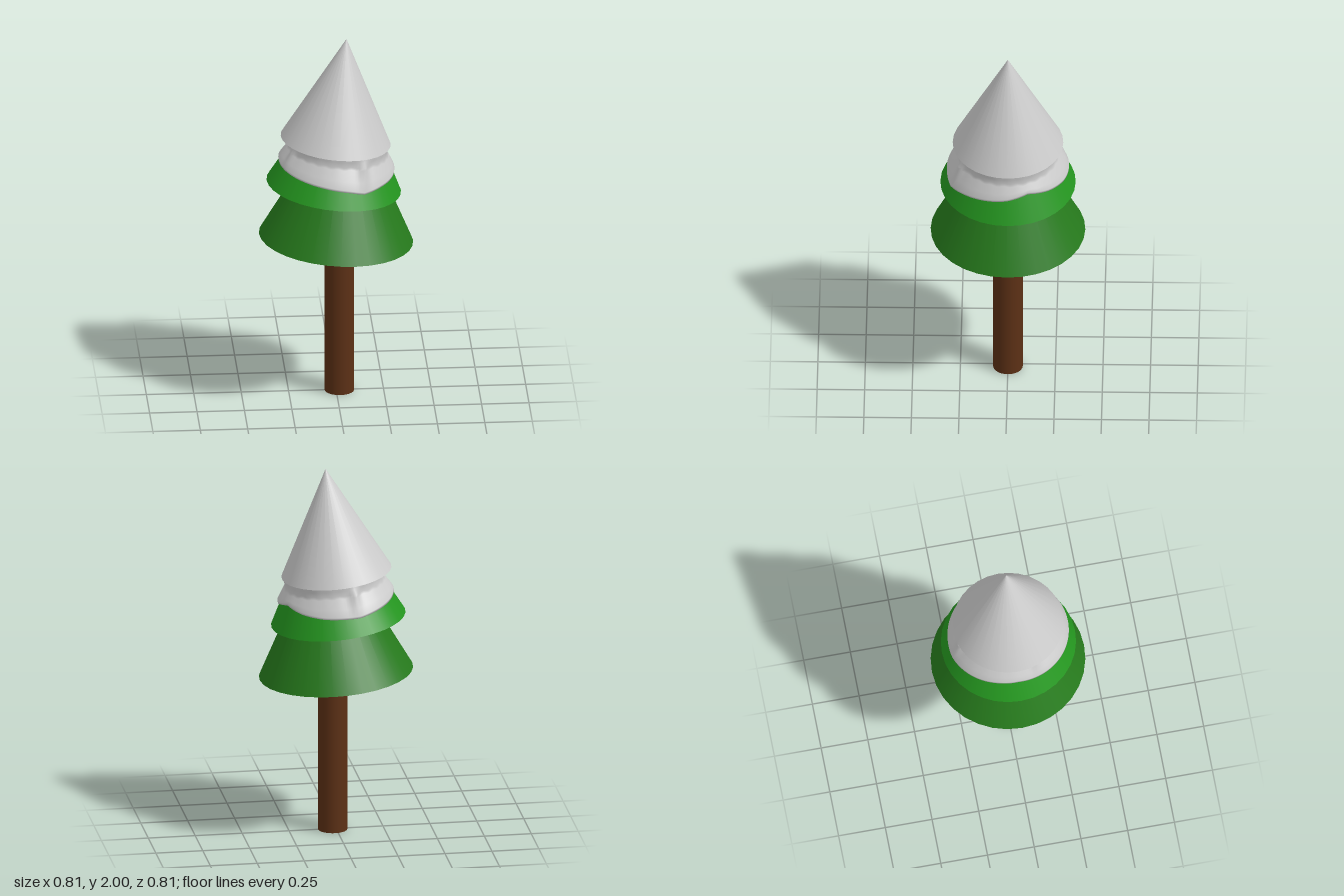
import * as THREE from 'three';

const mat = (color, side = THREE.FrontSide) => new THREE.MeshStandardMaterial({ color, side });
const SEGMENTS = 32;

function add(parent, name, geometry, material) {
  const mesh = new THREE.Mesh(geometry, material);
  mesh.name = name;
  parent.add(mesh);
  return mesh;
}

// A leaning tier: origin at the middle of its base, axis along local y
function tier(parent, name, x, y, tilt) {
  const group = new THREE.Group();
  group.name = name;
  group.position.set(x, y, 0);
  group.rotation.z = -tilt;
  parent.add(group);
  return group;
}

function cone(radius, height, open = false) {
  return new THREE.ConeGeometry(radius, height, SEGMENTS, 1, open).translate(0, height / 2, 0);
}

// Lower snow line: [angle in degrees from +x towards +z, height above tier base]
const SNOW_LINE = [
  [0, 0.127], [30, 0.11], [45, 0.1], [66, 0.08], [80, 0.09], [110, 0.102], [150, 0.115],
  [180, 0.125], [200, 0.12], [222, 0.108], [256, 0.09], [290, 0.105], [315, 0.125],
  [338, 0.15], [360, 0.127],
];
// Drips bridging the hollow: [angle, strength]
const DRIPS = [[64, 1], [157, 0.6], [256, 1]];

function snowHeight(deg) {
  const k = SNOW_LINE.findIndex(([a]) => a > deg);
  const [a0, h0] = SNOW_LINE[k - 1], [a1, h1] = SNOW_LINE[k];
  return THREE.MathUtils.lerp(h0, h1, (deg - a0) / (a1 - a0));
}

// Snow collar: uneven lower lip, hollow neck, then a flare under the cap above
function snowCollar(radius, height) {
  const n = 120, positions = [], index = [];
  const surface = (h) => radius * (1 - h / height);
  let rows = 0;
  for (let i = 0; i < n; i++) {
    const deg = (i * 360) / n, t = THREE.MathUtils.degToRad(deg);
    const low = snowHeight(deg);
    const neck = 0.197 + 0.003 * Math.sin(24 * t);
    const drip = DRIPS.reduce((s, [a, k]) => s + k * Math.exp(-(((deg - a) / 5) ** 2)), 0);
    const mid = (low + neck) / 2;
    const profile = [
      [surface(low) - 0.006, low],
      [surface(low) + 0.013, low + 0.001],
      [surface(low) + 0.013, low + 0.012],
      [surface(mid) + 0.017 + 0.008 * drip, mid],
      [surface(neck) + 0.012 + 0.022 * drip, neck],
      [surface(neck) + 0.004 + 0.03 * drip, neck + 0.012],
      [0.262 + 0.006 * drip, 0.236],
      [0.262, 0.27],
    ];
    rows = profile.length;
    for (const [r, h] of profile) positions.push(r * Math.cos(t), h, r * Math.sin(t));
    const next = ((i + 1) % n) * rows;
    for (let j = 0; j < rows - 1; j++) {
      const a = i * rows + j, b = next + j;
      index.push(a, a + 1, b, b, a + 1, b + 1);
    }
  }
  const geometry = new THREE.BufferGeometry();
  geometry.setAttribute('position', new THREE.Float32BufferAttribute(positions, 3));
  geometry.setIndex(index);
  geometry.computeVertexNormals();
  return geometry;
}

export function createModel() {
  const tree = new THREE.Group();
  tree.name = 'snowyTree';
  const darkGreen = mat(0x267a1c), green = mat(0x24961f);
  const bark = mat(0x5c3015), snow = mat(0xcccccc, THREE.DoubleSide);

  // Trunk
  const trunk = new THREE.CylinderGeometry(0.078, 0.078, 0.95, SEGMENTS).translate(0.018, 0.475, 0);
  add(tree, 'trunk', trunk, bark);

  // Bottom branches
  const bottom = tier(tree, 'bottomTier', 0, 0.872, 0.07);
  add(bottom, 'bottomBranches', cone(0.407, 0.81), darkGreen);

  // Middle branches with their snow collar
  const middle = tier(tree, 'middleTier', -0.012, 1.168, 0.106);
  add(middle, 'middleBranches', cone(0.356, 0.708), green);
  add(middle, 'snowCollar', snowCollar(0.356, 0.708), snow);

  // Snow-covered top with a green underside
  const top = tier(tree, 'topTier', -0.002, 1.427, 0.1);
  add(top, 'snowCap', cone(0.291, 0.576, true), snow);
  const underside = new THREE.CircleGeometry(0.29, SEGMENTS).rotateX(Math.PI / 2);
  add(top, 'topUnderside', underside, green);

  return tree;
}
